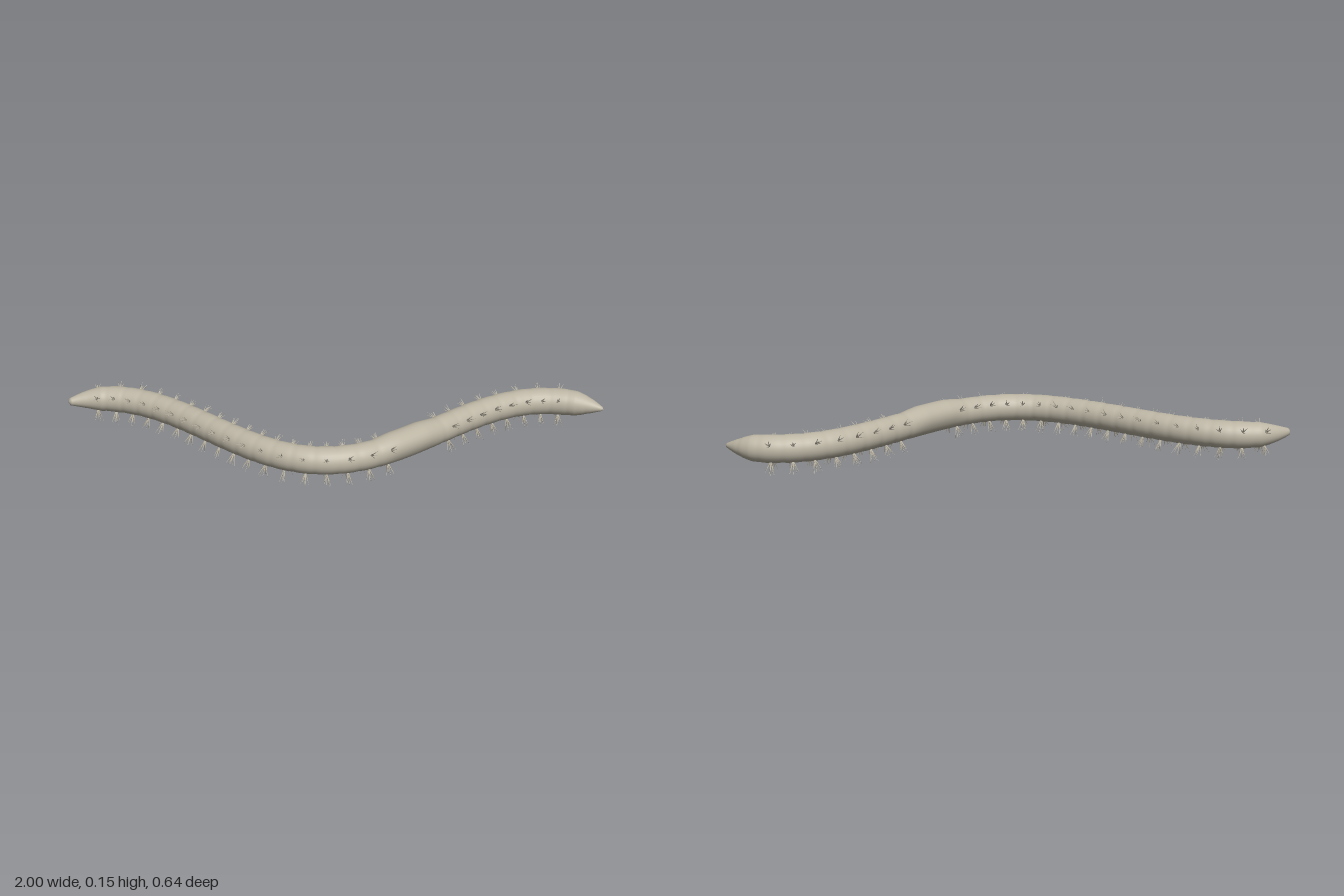
import * as THREE from 'three';
import { mergeGeometries } from 'three/addons/utils/BufferGeometryUtils.js';

const AXIS_Y = 0.095, RADIUS = 0.05, SEGMENTS = 29;
const FIRST_X = -0.895, LAST_X = 0.84;
const UP = new THREE.Vector3(0, 1, 0);
const smooth = THREE.MathUtils.smoothstep;

// Wavy centre line of the body, lying flat
const WAVE = Math.PI / 0.83, SWING = 0.242;
const pathZ = (x) => SWING * Math.cos(WAVE * (x + 0.035));
const centre = (x) => new THREE.Vector3(x, AXIS_Y, pathZ(x));
const tangent = (x) => new THREE.Vector3(1, 0, -SWING * WAVE * Math.sin(WAVE * (x + 0.035))).normalize();
const sideways = (x) => tangent(x).cross(UP).normalize();

// Radius at the two tapering ends, as [x, radius]
const PROFILE = [[-1, 0], [-0.997, 0.013], [-0.97, 0.022], [-0.93, 0.035], [-0.88, 0.046], [-0.8, 0.0495],
  [-0.7, RADIUS], [0.8, RADIUS], [0.87, 0.0495], [0.905, 0.046], [0.935, 0.037], [0.96, 0.026], [0.98, 0.016],
  [0.995, 0.008], [1, 0]];
function radiusAt(x) {
  let i = 1;
  while (i < PROFILE.length - 1 && x > PROFILE[i][0]) i++;
  const [x0, r0] = PROFILE[i - 1], [x1, r1] = PROFILE[i];
  return r0 + (r1 - r0) * THREE.MathUtils.clamp((x - x0) / (x1 - x0), 0, 1);
}

// Distance along the wave, sampled once, so segments are evenly spaced
const STEPS = 400;
const lengths = [0];
for (let i = 1; i <= STEPS; i++) {
  const a = -1 + (2 * (i - 1)) / STEPS, b = -1 + (2 * i) / STEPS;
  lengths.push(lengths[i - 1] + centre(a).distanceTo(centre(b)));
}
const lengthAt = (x) => lengths[Math.round(((x + 1) / 2) * STEPS)];
const SPACING = (lengthAt(LAST_X) - lengthAt(FIRST_X)) / (SEGMENTS - 1);
const xAtLength = (s) => -1 + (2 * lengths.findIndex((l) => l >= s - 1e-9)) / STEPS;

// Body: rings swept along the wave, with shallow grooves and a raised saddle
function bodyGeometry() {
  const SIDES = 32, positions = [], indices = [];
  for (let i = 0; i <= STEPS; i++) {
    const x = -1 + (2 * i) / STEPS;
    const c = centre(x), n = sideways(x);
    const phase = (lengths[i] - lengthAt(FIRST_X)) / SPACING;
    const saddle = smooth(x, 0.13, 0.22) * (1 - smooth(x, 0.3, 0.38));
    const groove = 1 - 0.025 * (1 - saddle) * Math.pow(Math.sin(Math.PI * phase), 8);
    for (let j = 0; j < SIDES; j++) {
      const a = (j / SIDES) * Math.PI * 2;
      const lift = 0.009 * saddle * smooth(Math.sin(a), -0.5, 0.7);
      const r = radiusAt(x) * groove + lift;
      const p = c.clone().addScaledVector(n, Math.cos(a) * r).addScaledVector(UP, Math.sin(a) * r);
      positions.push(p.x, p.y, p.z);
      if (i === STEPS) continue;
      const k = (j + 1) % SIDES;
      const p0 = i * SIDES + j, p1 = i * SIDES + k, q0 = p0 + SIDES, q1 = p1 + SIDES;
      indices.push(p0, q0, p1, p1, q0, q1);
    }
  }
  const g = new THREE.BufferGeometry();
  g.setAttribute('position', new THREE.Float32BufferAttribute(positions, 3));
  g.setIndex(indices);
  g.computeVertexNormals();
  return g;
}

// One row of bristle tufts at a given angle around the body
function bristleRow(angle, length, random) {
  const COUNT = 6, parts = [];
  for (let s = 0; s < SEGMENTS; s++) {
    if (s >= 18 && s <= 20) continue; // the saddle is bare
    const x = xAtLength(lengthAt(FIRST_X) + s * SPACING);
    const t = tangent(x), n = sideways(x);
    const out = n.clone().multiplyScalar(Math.cos(angle)).addScaledVector(UP, Math.sin(angle));
    const around = t.clone().cross(out);
    const root = centre(x).addScaledVector(out, radiusAt(x) - 0.005);
    for (let b = 0; b < COUNT; b++) {
      const turn = (b / (COUNT - 1)) * Math.PI * 2 + random() * 0.5;
      const spread = b === COUNT - 1 ? 0 : 0.22 + 0.25 * random();
      const dir = out.clone().addScaledVector(t, Math.cos(turn) * spread)
        .addScaledVector(around, Math.sin(turn) * spread).normalize();
      const len = length * (0.85 + 0.25 * random());
      const cone = new THREE.ConeGeometry(0.003, len, 6);
      cone.translate(0, len / 2, 0);
      cone.applyQuaternion(new THREE.Quaternion().setFromUnitVectors(UP, dir));
      cone.translate(root.x, root.y, root.z);
      parts.push(cone);
    }
  }
  return mergeGeometries(parts);
}

export function createModel() {
  const skin = new THREE.MeshStandardMaterial({ color: 0xbcb5a4 });
  skin.name = 'skin';

  const model = new THREE.Group();
  model.name = 'worm';
  const add = (name, geometry) => {
    const mesh = new THREE.Mesh(geometry, skin);
    mesh.name = name;
    model.add(mesh);
  };
  add('body', bodyGeometry());

  let seed = 7;
  const random = () => (seed = (seed * 16807) % 2147483647) / 2147483647;
  const deg = Math.PI / 180;
  add('frontSideBristles', bristleRow(26 * deg, 0.04, random));
  add('backSideBristles', bristleRow(154 * deg, 0.04, random));
  add('frontBellyBristles', bristleRow(-62 * deg, 0.052, random));
  add('backBellyBristles', bristleRow(-118 * deg, 0.052, random));
  return model;
}
